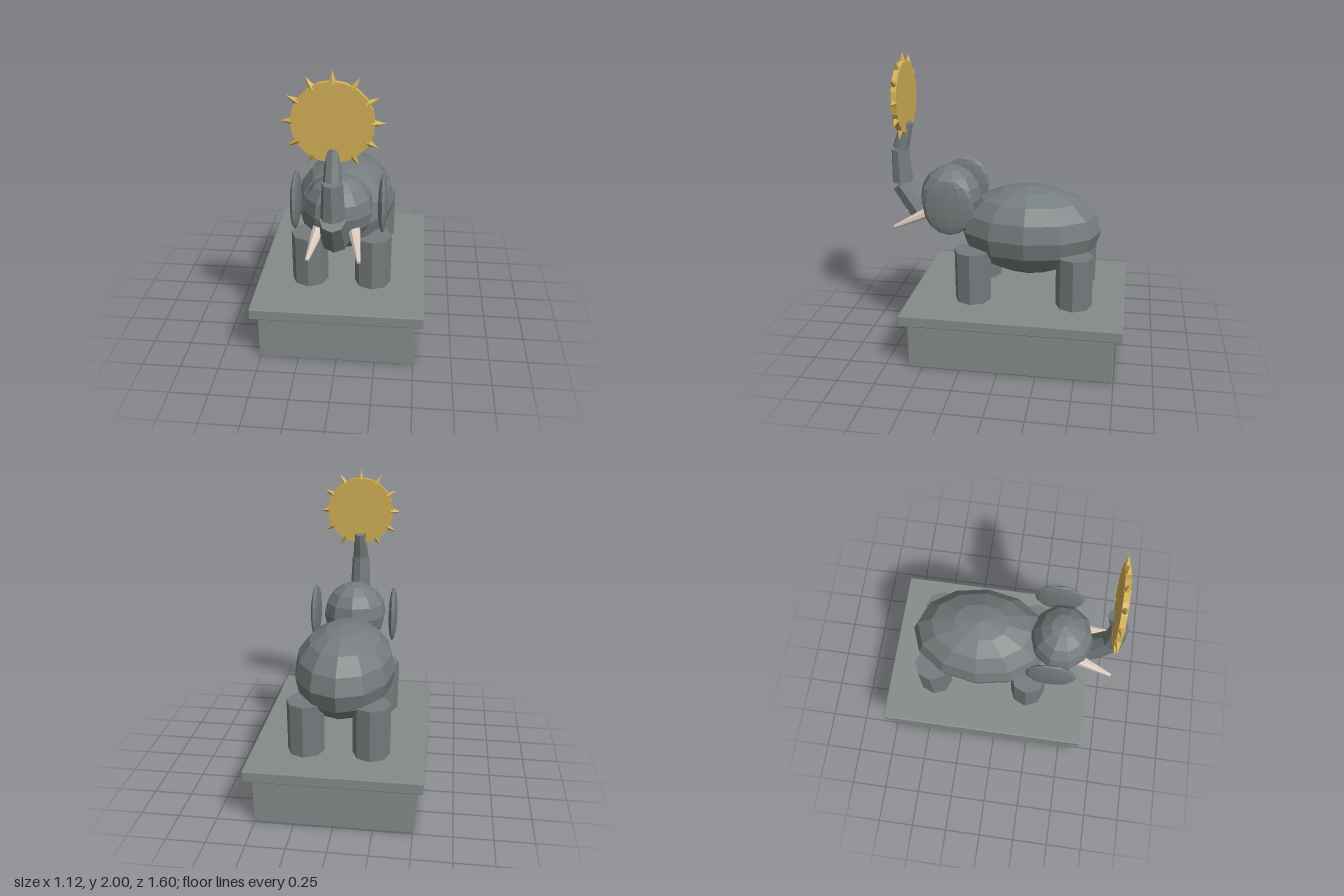
import * as THREE from 'three';
import { RoundedBoxGeometry } from 'three/addons/geometries/RoundedBoxGeometry.js';

function material(name, color) {
  const m = new THREE.MeshStandardMaterial({ color, flatShading: true });
  m.name = name;
  return m;
}

export function createModel() {
  const model = new THREE.Group();
  model.name = 'elephantStatue';
  const stone = material('plinth grey', 0x868b8a);
  const hide = material('elephant grey', 0x757c7d);
  const ivory = material('ivory', 0xd8c8bc);
  const gold = material('gold', 0xd2af55);

  function add(name, geometry, mat, x, y, z, parent = model) {
    const mesh = new THREE.Mesh(geometry, mat);
    mesh.name = name;
    mesh.position.set(x, y, z);
    parent.add(mesh);
    return mesh;
  }

  // Faceted ellipsoid with its poles up and down and a vertex facing +z
  function ellipsoid(rx, ry, rz, sides, rings) {
    return new THREE.SphereGeometry(1, sides, rings).rotateY(Math.PI / 2).scale(rx, ry, rz);
  }

  // Tapered limb running from point a to point b
  function limb(name, a, b, ra, rb, sides, mat) {
    const start = new THREE.Vector3(...a);
    const dir = new THREE.Vector3(...b).sub(start);
    const mesh = add(name, new THREE.CylinderGeometry(rb, ra, dir.length(), sides), mat, 0, 0, 0);
    mesh.position.copy(start).addScaledVector(dir, 0.5);
    mesh.quaternion.setFromUnitVectors(new THREE.Vector3(0, 1, 0), dir.normalize());
    return mesh;
  }

  // Plinth with overhanging slab
  add('plinthBlock', new RoundedBoxGeometry(1.02, 0.32, 1.34, 1, 0.006), stone, 0, 0.16, -0.077);
  add('plinthSlab', new RoundedBoxGeometry(1.116, 0.074, 1.437, 1, 0.006), stone, 0, 0.354, -0.08);

  // Body and head
  add('body', ellipsoid(0.333, 0.301, 0.478, 12, 8), hide, 0, 0.837, -0.143);
  add('head', ellipsoid(0.222, 0.222, 0.209, 10, 8), hide, 0, 1.03, 0.397);

  // Legs, ears and tusks on both sides
  for (const [side, s] of [['left', 1], ['right', -1]]) {
    for (const [end, z] of [['Front', 0.21], ['Back', -0.465]]) {
      add(side + end + 'Leg', new THREE.CylinderGeometry(0.122, 0.12, 0.35, 8), hide, s * 0.211, 0.565, z);
    }
    add(side + 'Ear', ellipsoid(0.03, 0.188, 0.168, 12, 8), hide, s * 0.274, 1.047, 0.352);
    limb(side + 'Tusk', [s * 0.108, 0.945, 0.53], [s * 0.155, 0.847, 0.757], 0.04, 0.012, 8, ivory);
  }

  // Raised trunk in three overlapping sections
  limb('lowerTrunk', [0, 0.91, 0.595], [0, 1.11, 0.735], 0.09, 0.077, 8, hide);
  limb('middleTrunk', [0, 1.125, 0.728], [0, 1.35, 0.738], 0.073, 0.061, 8, hide);
  limb('trunkTip', [0, 1.355, 0.733], [0, 1.538, 0.682], 0.055, 0.042, 8, hide);

  // Sun disc with a ring of rays
  const sun = new THREE.Group();
  sun.name = 'sunDisc';
  sun.position.set(0, 1.702, 0.697);
  model.add(sun);
  add('disc', new THREE.CylinderGeometry(0.236, 0.236, 0.036, 20).rotateX(Math.PI / 2), gold, 0, 0, 0, sun);
  for (let i = 0; i < 12; i++) {
    const angle = (i * Math.PI) / 6;
    const ray = add('sunRay' + (i + 1), new THREE.ConeGeometry(0.024, 0.078, 6), gold,
      -Math.sin(angle) * 0.259, Math.cos(angle) * 0.259, 0, sun);
    ray.rotation.z = angle;
  }

  return model;
}
